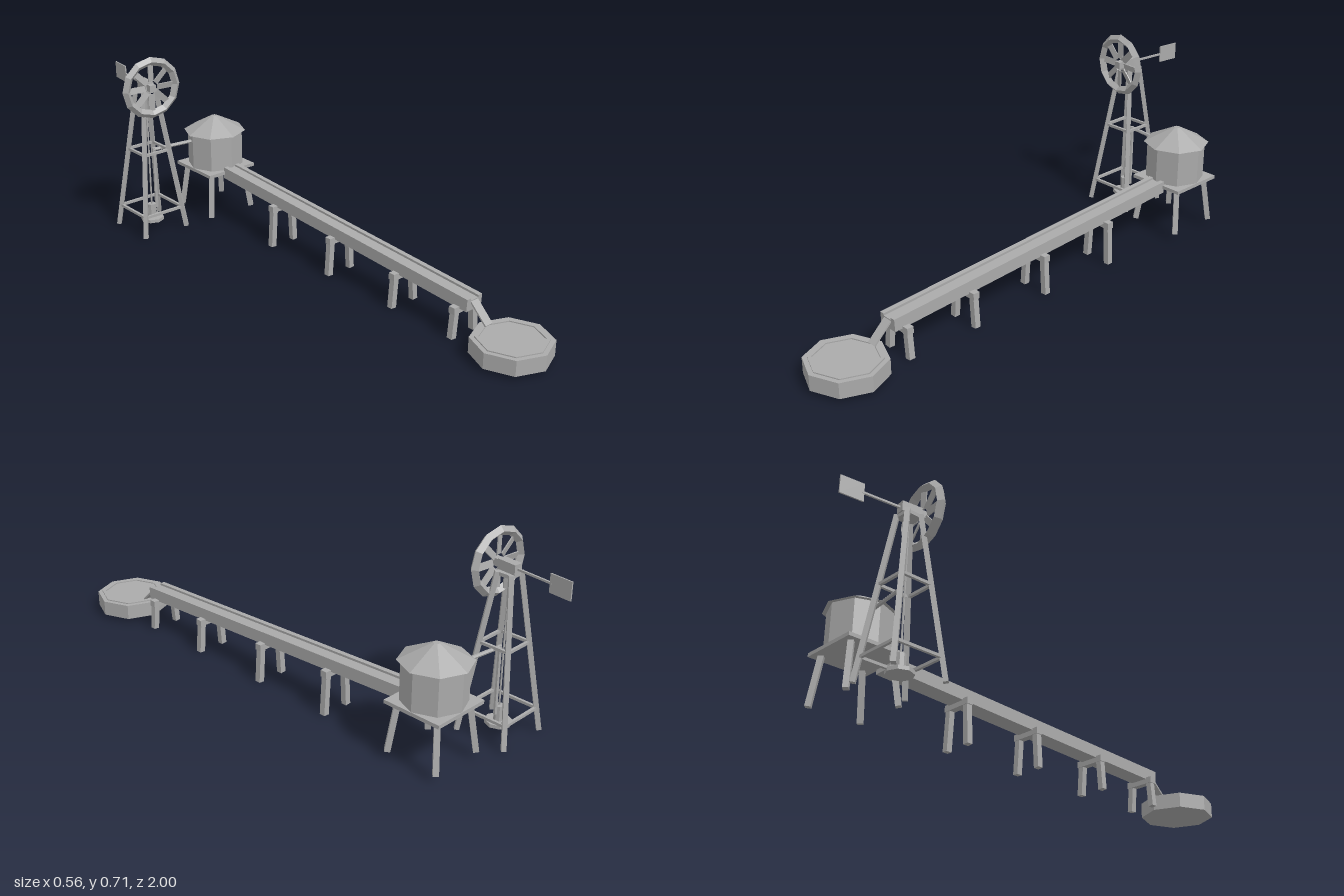
import * as THREE from 'three';

const grey = new THREE.MeshStandardMaterial({ color: 0xaaaaaa, flatShading: true });
grey.name = 'weathered grey';

function add(parent, name, geometry, x = 0, y = 0, z = 0) {
  const mesh = new THREE.Mesh(geometry, grey);
  mesh.name = name;
  mesh.position.set(x, y, z);
  parent.add(mesh);
  return mesh;
}
const box = (w, h, d) => new THREE.BoxGeometry(w, h, d);
const cyl = (top, bottom, h, sides = 8) => new THREE.CylinderGeometry(top, bottom, h, sides);

// Straight bar between two points, round-ish or square according to its sides
function bar(parent, name, a, b, radius, sides = 4, turn = 0) {
  const from = new THREE.Vector3(...a), to = new THREE.Vector3(...b);
  const dir = to.clone().sub(from);
  const geo = cyl(radius, radius, dir.length(), sides).rotateY(turn);
  const mesh = add(parent, name, geo, ...from.clone().add(to).multiplyScalar(0.5));
  mesh.quaternion.setFromUnitVectors(new THREE.Vector3(0, 1, 0), dir.normalize());
  return mesh;
}
const corners = [[1, 1], [-1, 1], [-1, -1], [1, -1]];

function group(parent, name, x, y, z) {
  const g = new THREE.Group();
  g.name = name;
  g.position.set(x, y, z);
  parent.add(g);
  return g;
}

function buildWindmill(model) {
  // Tapered four-legged tower
  const tower = group(model, 'windmillTower', -0.151, 0, -0.754);
  const half = y => 0.097 - 0.07 * y / 0.573;
  corners.forEach(([sx, sz], i) => {
    const [nx, nz] = corners[(i + 1) % 4];
    const at = (y, a, b) => [a * half(y), y, b * half(y)];
    bar(tower, 'towerLeg', at(0.003, sx, sz), at(0.575, sx, sz), 0.0118);
    for (const y of [0.085, 0.328])
      bar(tower, 'towerBrace', at(y, sx, sz), at(y, nx, nz), 0.007, 4, Math.PI / 4);
  });
  add(tower, 'towerCap', box(0.06, 0.012, 0.06), 0, 0.569, 0);

  // Pump under the tower
  add(tower, 'pumpBase', cyl(0.046, 0.046, 0.013), 0, 0.0335, 0);
  add(tower, 'pumpBody', cyl(0.017, 0.017, 0.056), 0, 0.067, 0);
  add(tower, 'pumpRod', cyl(0.0035, 0.0035, 0.48, 6), 0, 0.335, 0);

  // Turning head, facing slightly to one side
  const head = group(model, 'windmillHead', -0.157, 0.592, -0.704);
  head.rotation.y = -0.11;
  add(head, 'wheelRim', new THREE.TorusGeometry(0.105, 0.0165, 4, 12));
  for (let i = 0; i < 8; i++) {
    const arm = group(head, 'wheelBlade', 0, 0, 0);
    arm.rotation.z = i * Math.PI / 4;
    add(arm, 'blade', box(0.024, 0.07, 0.004), 0, 0.06, 0).rotation.y = 0.25;
  }
  add(head, 'wheelHub', box(0.026, 0.026, 0.03), 0, 0, 0);
  add(head, 'gearHousing', box(0.032, 0.035, 0.073), 0, 0, -0.0485);
  add(head, 'tailRod', box(0.007, 0.007, 0.14), 0, 0, -0.15);
  add(head, 'tailVane', box(0.005, 0.064, 0.084), 0, 0, -0.255);
}

function buildTank(model) {
  const tank = group(model, 'waterTank', 0.139, 0, -0.71);
  add(tank, 'tankBody', cyl(0.11, 0.11, 0.141), 0, 0.2825, 0);
  add(tank, 'tankRoof', cyl(0.012, 0.124, 0.06), 0, 0.383, 0);
  add(tank, 'tankPlatform', box(0.222, 0.013, 0.222), 0, 0.2055, 0);
  for (const [sx, sz] of corners)
    bar(tank, 'tankLeg', [sx * 0.1, 0.026, sz * 0.1], [sx * 0.08, 0.202, sz * 0.08], 0.0138);

  // Pipe carrying water from the pump to the tank
  bar(model, 'risingPipe', [-0.126, 0.073, -0.757], [-0.126, 0.325, -0.757], 0.007, 6);
  bar(model, 'feedPipe', [-0.128, 0.319, -0.757], [0.05, 0.319, -0.735], 0.007, 6);
}

function buildFlume(model) {
  // Sloping channel: a bed between two side walls
  const slope = Math.atan2(0.071, 1.3), length = Math.hypot(0.071, 1.3);
  const flume = group(model, 'flume', 0.139, 0.169, 0.044);
  flume.rotation.x = slope;
  add(flume, 'channelBed', box(0.036, 0.038, length), 0, -0.004, 0);
  for (const s of [-1, 1])
    add(flume, 'channelWall', box(0.018, 0.046, length), s * 0.027, 0, 0);

  // Trestles get shorter down the slope
  for (const z of [0.65, 0.37, 0.042, -0.283]) {
    const top = 0.115 + (0.694 - z) * 0.0546;
    const trestle = group(model, 'trestle', 0.139, 0, z);
    add(trestle, 'trestleBeam', box(0.118, 0.024, 0.026), 0, top - 0.01, 0);
    for (const s of [-1, 1])
      bar(trestle, 'trestleLeg', [s * 0.053, 0.003, 0], [s * 0.044, top - 0.012, 0],
        0.0155, 4, Math.PI / 4);
  }

  // Spout dropping into the basin
  const spout = add(model, 'spout', box(0.034, 0.006, 0.098), 0.139, 0.112, 0.725);
  spout.rotation.x = Math.atan2(0.066, 0.07);
}

function buildBasin(model) {
  // Octagonal basin with a stepped rim and water inside
  const profile = [[0, 0.016], [0.139, 0.016], [0.139, 0.073], [0.122, 0.073],
    [0.122, 0.077], [0.108, 0.077], [0.108, 0.073], [0, 0.073]];
  const geo = new THREE.LatheGeometry(profile.map(p => new THREE.Vector2(...p)), 8);
  add(model, 'basin', geo, 0.139, 0, 0.86);
}

export function createModel() {
  const model = new THREE.Group();
  model.name = 'windmillWaterworks';
  buildWindmill(model);
  buildTank(model);
  buildFlume(model);
  buildBasin(model);
  return model;
}
